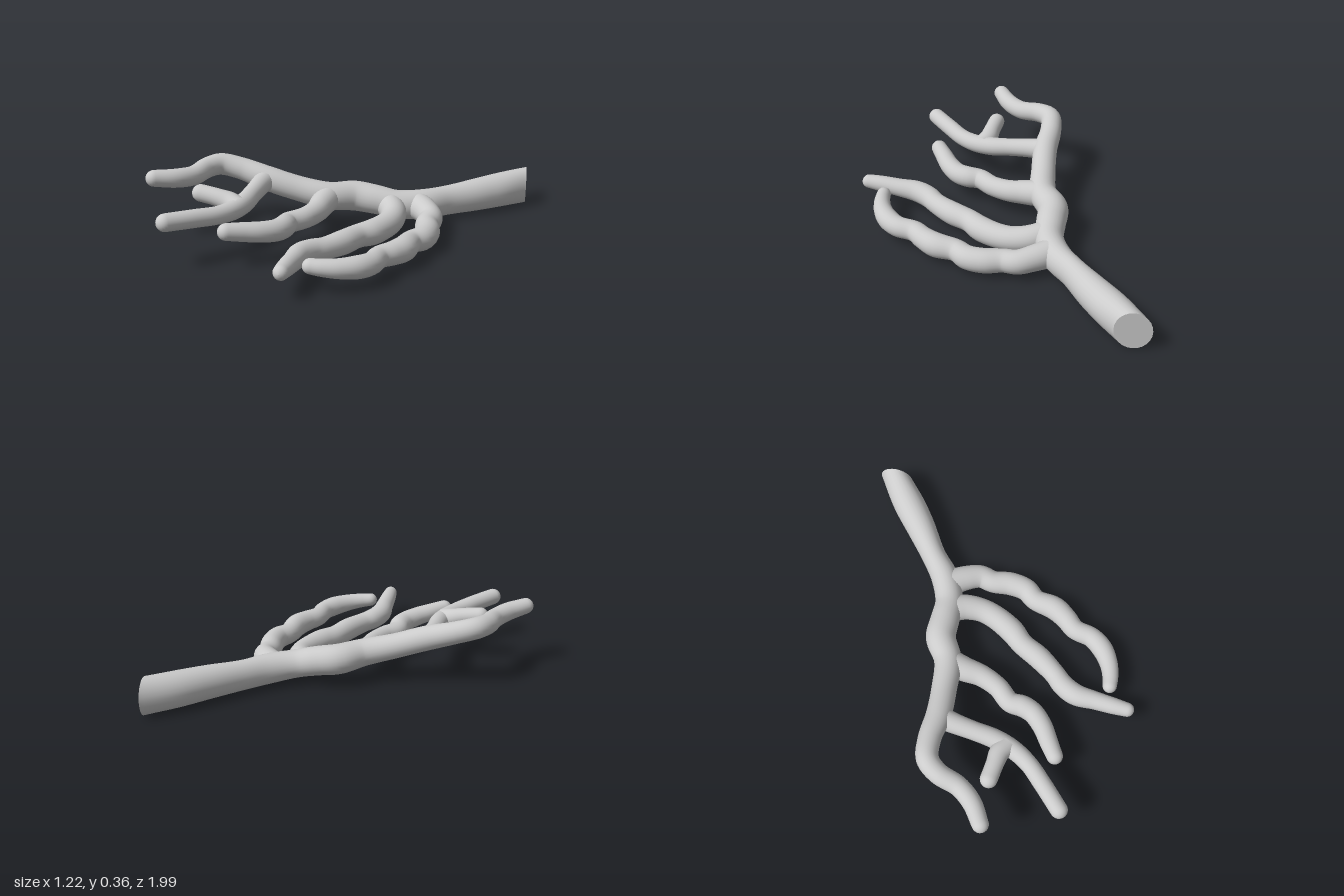
import * as THREE from 'three';

const SIDES = 24, STEPS = 8, CAP = 6;
const material = new THREE.MeshStandardMaterial({ color: 0xcccccc, roughness: 0.8 });
const UP = new THREE.Vector3(0, 1, 0);

// Smooth limb swept along points [x, y, z, radius, vertical radius], with a round tip.
// With cutNormal, the start is closed by a flat slanted cut.
function limb(name, points, cutNormal) {
  const path = new THREE.CatmullRomCurve3(points.map(p => new THREE.Vector3(p[0], p[1], p[2])));
  const size = new THREE.CatmullRomCurve3(
    points.map(p => new THREE.Vector3(p[3], p[4] ?? p[3], 0)), false, 'catmullrom');
  const n = (points.length - 1) * STEPS;
  const pos = [], index = [];
  const start = path.getPoint(0);

  const ring = (c, t, rx, ry) => {
    const side = new THREE.Vector3().crossVectors(t, UP).normalize();
    const up = new THREE.Vector3().crossVectors(side, t);
    const fade = cutNormal ? Math.max(0, 1 - c.distanceTo(start) / 0.25) : 0;
    for (let j = 0; j < SIDES; j++) {
      const a = j / SIDES * Math.PI * 2;
      const off = side.clone().multiplyScalar(Math.cos(a) * rx).addScaledVector(up, Math.sin(a) * ry);
      if (fade) off.addScaledVector(t, -cutNormal.dot(off) / cutNormal.dot(t) * fade);
      off.add(c);
      pos.push(off.x, off.y, off.z);
    }
  };

  for (let i = 0; i <= n; i++) {
    const s = size.getPoint(i / n);
    ring(path.getPoint(i / n), path.getTangent(i / n), s.x, s.y);
  }
  // rounded tip
  const end = path.getPoint(1), dir = path.getTangent(1), r = size.getPoint(1).x;
  for (let k = 1; k <= CAP; k++) {
    const a = k / CAP * Math.PI / 2, rr = Math.max(r * Math.cos(a), 0.0005);
    ring(end.clone().addScaledVector(dir, r * Math.sin(a)), dir, rr, rr);
  }
  for (let i = 0; i < n + CAP; i++) {
    for (let j = 0; j < SIDES; j++) {
      const k = (j + 1) % SIDES;
      const a = i * SIDES + j, c = i * SIDES + k, b = a + SIDES, d = c + SIDES;
      index.push(a, b, c, b, d, c);
    }
  }
  // flat cut face with its own vertices, so its rim stays sharp
  if (cutNormal) {
    const base = pos.length / 3;
    pos.push(...pos.slice(0, SIDES * 3), start.x, start.y, start.z);
    for (let j = 0; j < SIDES; j++) index.push(base + SIDES, base + j, base + (j + 1) % SIDES);
  }

  const geometry = new THREE.BufferGeometry();
  geometry.setAttribute('position', new THREE.Float32BufferAttribute(pos, 3));
  geometry.setIndex(index);
  geometry.computeVertexNormals();
  const mesh = new THREE.Mesh(geometry, material);
  mesh.name = name;
  return mesh;
}

export function createModel() {
  const group = new THREE.Group();
  group.name = 'branch';

  // thick stem, running on through the main limb into the outermost twig
  group.add(limb('stemAndMainLimb', [
    [0.50, 0.102, -0.93, 0.07, 0.096], [0.44, 0.10, -0.78, 0.082, 0.092],
    [0.385, 0.098, -0.63, 0.077, 0.086], [0.315, 0.095, -0.46, 0.064, 0.078],
    [0.262, 0.098, -0.32, 0.072, 0.078], [0.18, 0.11, -0.21, 0.072], [0.09, 0.13, -0.15, 0.075],
    [0.0, 0.145, -0.09, 0.077], [-0.065, 0.16, 0.025, 0.07], [-0.19, 0.197, 0.125, 0.064],
    [-0.32, 0.245, 0.215, 0.063], [-0.44, 0.285, 0.275, 0.057], [-0.522, 0.31, 0.345, 0.055],
    [-0.535, 0.308, 0.43, 0.052], [-0.51, 0.3, 0.54, 0.049], [-0.523, 0.308, 0.64, 0.047],
    [-0.57, 0.322, 0.74, 0.041],
  ], new THREE.Vector3(0.84, 0, -0.54)));

  // forked twig and its side shoot
  group.add(limb('forkedTwig', [
    [-0.33, 0.24, 0.2, 0.062], [-0.3, 0.235, 0.28, 0.052], [-0.25, 0.225, 0.39, 0.047],
    [-0.205, 0.215, 0.49, 0.049], [-0.18, 0.21, 0.59, 0.047], [-0.18, 0.213, 0.69, 0.044],
    [-0.205, 0.223, 0.8, 0.044], [-0.245, 0.234, 0.947, 0.043],
  ]));
  group.add(limb('sideShoot', [
    [-0.185, 0.215, 0.55, 0.05], [-0.24, 0.228, 0.553, 0.05],
    [-0.3, 0.245, 0.578, 0.044], [-0.378, 0.258, 0.612, 0.043],
  ]));

  // middle twig
  group.add(limb('middleTwig', [
    [-0.07, 0.155, 0.03, 0.07], [-0.035, 0.145, 0.12, 0.063], [0.0, 0.14, 0.2, 0.056],
    [0.015, 0.138, 0.3, 0.052], [0.002, 0.138, 0.4, 0.052], [0.03, 0.142, 0.46, 0.055],
    [0.04, 0.145, 0.52, 0.053], [0.02, 0.155, 0.6, 0.05], [-0.02, 0.168, 0.68, 0.046],
    [-0.055, 0.18, 0.75, 0.041],
  ]));

  // two knobbly inner twigs
  group.add(limb('straightKnobblyTwig', [
    [0.15, 0.11, -0.18, 0.068], [0.222, 0.1, -0.13, 0.066], [0.272, 0.092, -0.06, 0.062],
    [0.295, 0.088, 0.02, 0.062], [0.3, 0.087, 0.13, 0.063], [0.285, 0.09, 0.22, 0.057],
    [0.29, 0.093, 0.33, 0.059], [0.28, 0.097, 0.45, 0.053], [0.265, 0.103, 0.52, 0.055],
    [0.27, 0.11, 0.6, 0.055], [0.312, 0.12, 0.69, 0.047], [0.355, 0.13, 0.78, 0.042],
    [0.385, 0.136, 0.84, 0.036],
  ]));
  group.add(limb('bentKnobblyTwig', [
    [0.25, 0.1, -0.29, 0.072], [0.335, 0.097, -0.25, 0.065], [0.405, 0.088, -0.2, 0.06],
    [0.435, 0.082, -0.13, 0.058], [0.49, 0.08, -0.06, 0.061], [0.522, 0.082, 0.02, 0.059],
    [0.515, 0.085, 0.1, 0.055], [0.548, 0.09, 0.2, 0.061], [0.547, 0.093, 0.28, 0.056],
    [0.534, 0.096, 0.36, 0.052], [0.56, 0.1, 0.45, 0.052], [0.55, 0.106, 0.53, 0.053],
    [0.51, 0.114, 0.61, 0.046], [0.46, 0.122, 0.665, 0.04], [0.42, 0.128, 0.695, 0.036],
  ]));

  return group;
}
